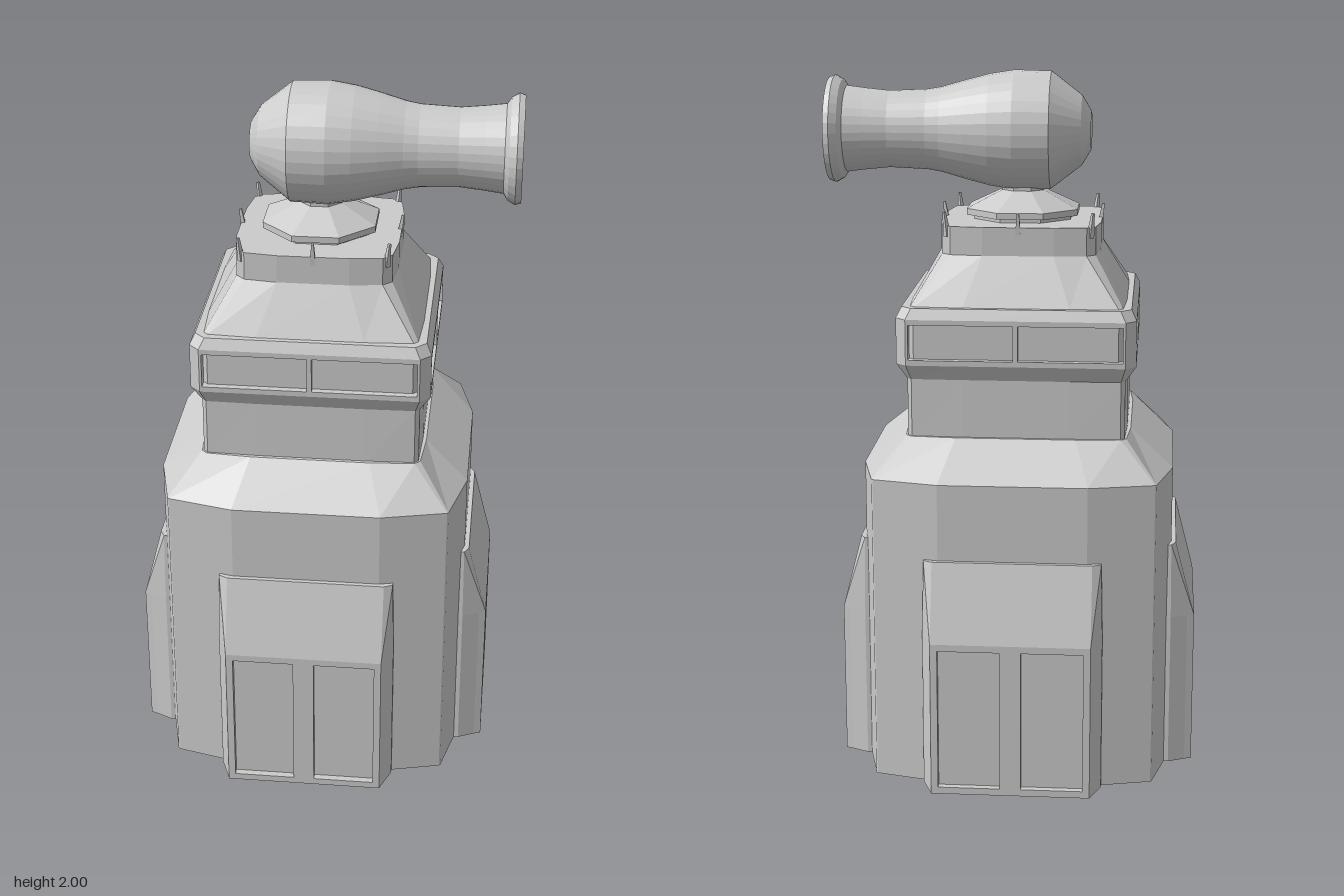
import * as THREE from 'three';
import { ConvexGeometry } from 'three/addons/geometries/ConvexGeometry.js';

const mat = new THREE.MeshStandardMaterial({ color: 0xcccccc, flatShading: true });

function add(parent, name, geometry) {
  const mesh = new THREE.Mesh(geometry, mat);
  mesh.name = name;
  parent.add(mesh);
  return mesh;
}

// Square ring: half width h, corner cut c, sides bulging by b between -m and m
function ring({ y, h, c, b = 0, m = 0.15 }) {
  const side = [[c - h, h], [-m, h + b], [m, h + b], [h - c, h]];
  const pts = [];
  for (let k = 0; k < 4; k++) {
    for (const [x, z] of side) {
      const [px, pz] = [[x, z], [z, -x], [-x, -z], [-z, x]][k];
      pts.push([px, y, pz]);
    }
  }
  return pts;
}

// Skin stacked rings and close both ends
function loft(specs) {
  const rings = specs.map(ring), n = 16, pos = [];
  const tri = (a, b, c) => pos.push(...a, ...b, ...c);
  const last = rings.length - 1;
  for (let i = 0; i < n; i++) {
    const j = (i + 1) % n;
    for (let r = 0; r < last; r++) {
      const lo = rings[r], up = rings[r + 1];
      tri(lo[i], lo[j], up[j]);
      tri(lo[i], up[j], up[i]);
    }
    tri([0, specs[0].y, 0], rings[0][j], rings[0][i]);
    tri([0, specs[last].y, 0], rings[last][i], rings[last][j]);
  }
  const g = new THREE.BufferGeometry();
  g.setAttribute('position', new THREE.Float32BufferAttribute(pos, 3));
  g.computeVertexNormals();
  return g;
}

// Symmetric hull from [y, halfWidth, z] points
function hull(list) {
  const pts = [];
  for (const [y, x, z] of list) pts.push(new THREE.Vector3(x, y, z), new THREE.Vector3(-x, y, z));
  return new ConvexGeometry(pts);
}

function rect(path, x0, x1, y0, y1) {
  path.moveTo(x0, y0);
  path.lineTo(x1, y0);
  path.lineTo(x1, y1);
  path.lineTo(x0, y1);
  path.closePath();
  return path;
}

// Porch with a sloping hood and two recessed door panels
function porch(front) {
  const g = new THREE.Group();
  g.name = 'porch';
  const d = 0.02, y1 = 0.45, w = 0.225;
  add(g, 'porchCore', hull([
    [0, 0.255, 0.42], [0, 0.255, 0.447], [0, 0.2325, front - d],
    [y1, 0.255, 0.42], [y1, 0.255, 0.447], [y1, 0.2325, front - d]]));
  add(g, 'porchHood', hull([
    [y1, 0.255, 0.42], [y1, 0.255, 0.447], [y1, w, front],
    [0.67, w, 0.42], [0.67, w, 0.458], [0.67, 0.25, 0.42], [0.67, 0.25, 0.445]]));
  const shape = rect(new THREE.Shape(), -w, w, 0, y1);
  for (const x of [-0.205, 0.03]) shape.holes.push(rect(new THREE.Path(), x, x + 0.175, 0.02, 0.43));
  const frame = new THREE.ExtrudeGeometry(shape, { depth: d, bevelEnabled: false });
  const p = frame.attributes.position;
  // splay the frame's back edge to follow the angled cheeks
  for (let i = 0; i < p.count; i++) {
    if (p.getZ(i) < 0.001 && Math.abs(p.getX(i)) > 0.22) p.setX(i, Math.sign(p.getX(i)) * 0.2325);
  }
  frame.translate(0, 0, front - d);
  frame.computeVertexNormals();
  add(g, 'doorFrame', frame);
  return g;
}

export function createModel() {
  const model = new THREE.Group();
  model.name = 'cannonTower';
  const tower = new THREE.Group();
  tower.name = 'tower';
  tower.position.x = -0.025;
  model.add(tower);

  // Wide lower storey and its sloping shoulder
  add(tower, 'lowerBody', loft([
    { y: 0, h: 0.4, c: 0.004, b: 0.045, m: 0.21 },
    { y: 0.89, h: 0.4, c: 0.004, b: 0.045, m: 0.21 },
    { y: 0.995, h: 0.312, c: 0.015, b: 0.01, m: 0.17 }]));

  // Neck, window band with recessed glazing, roof and parapet
  const H = 0.337, C = 0.03;
  add(tower, 'upperBody', loft([
    { y: 0.98, h: 0.307, c: 0.012, b: 0.005 },
    { y: 1.16, h: 0.307, c: 0.012, b: 0.003 },
    { y: 1.205, h: H, c: C },
    { y: 1.22, h: H, c: C },
    { y: 1.22, h: H - 0.02, c: C },
    { y: 1.32, h: H - 0.02, c: C },
    { y: 1.32, h: H, c: C },
    { y: 1.335, h: H, c: C },
    { y: 1.365, h: 0.322, c: C },
    { y: 1.365, h: 0.298, c: 0.012, b: 0.008 },
    { y: 1.5, h: 0.217, c: 0.025, b: 0.012, m: 0.1 },
    { y: 1.58, h: 0.217, c: 0.025, b: 0.012, m: 0.1 }]));

  const corner = new THREE.Shape([[0.3, 0.3], [H, 0.3], [H, H - C], [H - C, H], [0.3, H]]
    .map(([x, y]) => new THREE.Vector2(x, y)));
  for (let k = 0; k < 4; k++) {
    const side = new THREE.Group();
    side.name = 'side';
    side.rotation.y = k * Math.PI / 2;
    tower.add(side);
    side.add(porch(k % 2 ? 0.515 : 0.525));
    // Window corner post and mullion
    const post = add(side, 'windowCornerPost', new THREE.ExtrudeGeometry(corner, { depth: 0.1, bevelEnabled: false }));
    post.rotation.x = -Math.PI / 2;
    post.position.y = 1.22;
    add(side, 'windowMullion', new THREE.BoxGeometry(0.014, 0.1, 0.03)).position.set(0, 1.27, H - 0.015);
    // Parapet spikes at the middle and corner of each side
    for (const [a, r] of [[0, 0.226], [Math.PI / 4, 0.29]]) {
      const spike = new THREE.Group();
      spike.name = 'spikeMount';
      spike.rotation.y = a;
      side.add(spike);
      const s = add(spike, 'parapetSpike', new THREE.CylinderGeometry(0.005, 0.011, 0.07, 4, 1, false, Math.PI / 4));
      s.position.set(0, 1.585, r);
      s.rotation.x = 0.15;
    }
  }

  // Octagonal turntable
  const base = add(tower, 'turntable', new THREE.LatheGeometry(
    [[0, 1.57], [0.15, 1.57], [0.15, 1.59], [0.172, 1.592], [0.172, 1.61], [0.065, 1.66], [0.065, 1.7], [0, 1.7]]
      .map(([r, y]) => new THREE.Vector2(r, y)), 8));
  base.rotation.y = Math.PI / 8;

  // Cannon barrel with flared lip and tapering bore
  const profile = [[0, -0.22], [0.055, -0.22], [0.1, -0.193], [0.168, -0.105], [0.171, 0], [0.16, 0.07],
    [0.142, 0.14], [0.122, 0.21], [0.115, 0.25], [0.11, 0.36], [0.117, 0.43], [0.124, 0.485],
    [0.142, 0.497], [0.154, 0.518], [0.148, 0.535], [0.122, 0.535], [0.105, 0.46], [0.085, 0.3],
    [0.042, 0.2], [0, 0.2]];
  const cannon = add(model, 'cannon', new THREE.LatheGeometry(profile.map(([r, x]) => new THREE.Vector2(r, x)), 32));
  cannon.rotation.z = -Math.PI / 2;
  cannon.position.y = 1.829;
  return model;
}
